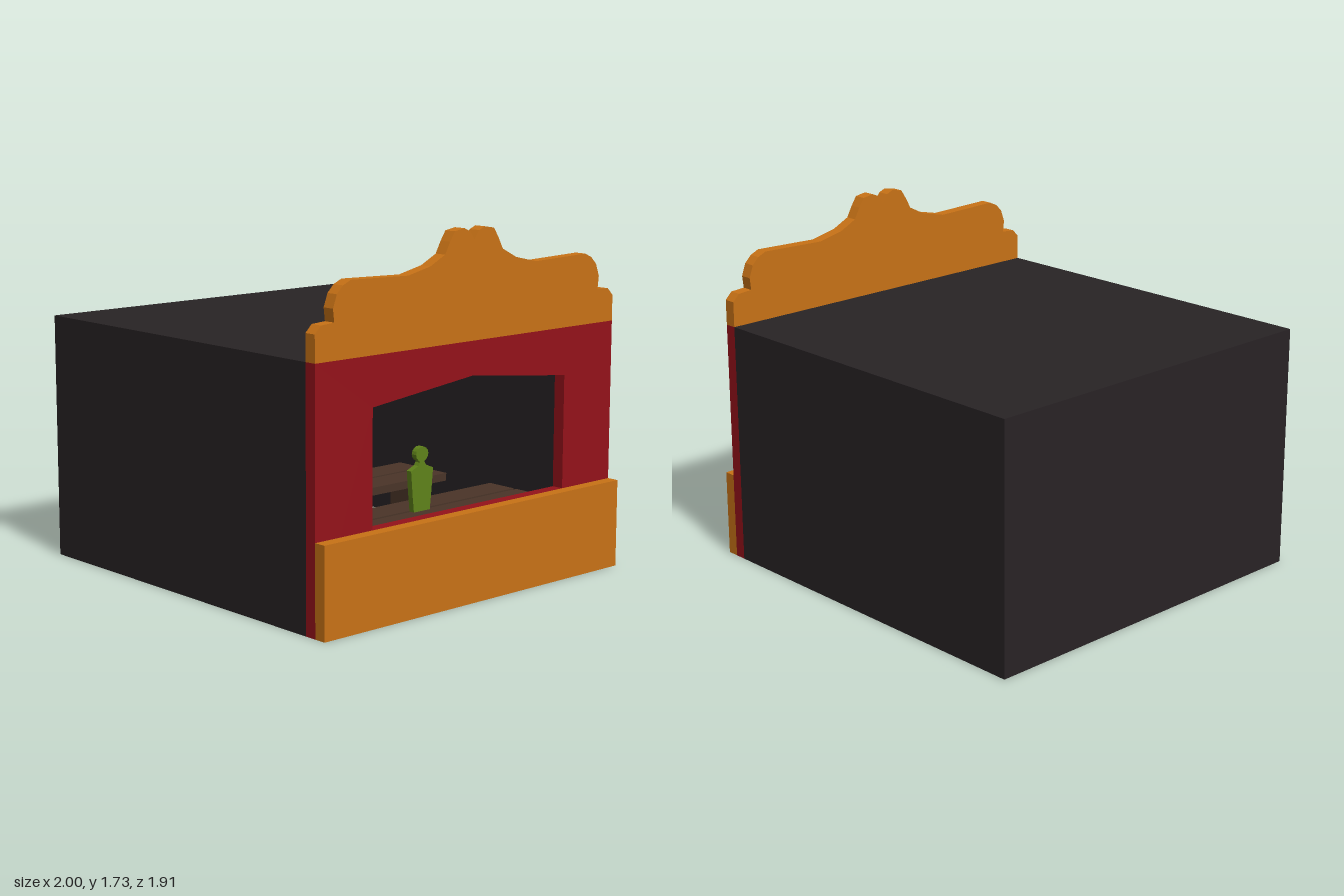
import * as THREE from 'three';

const ORANGE = 0xc87216, RED = 0x94121a, DARK = 0x282325, BROWN = 0x4a3428;
const HALF = 0.955; // half width of the stall along z

function add(parent, name, geometry, color, x = 0, y = 0, z = 0) {
  const material = new THREE.MeshStandardMaterial({ color, flatShading: true });
  const mesh = new THREE.Mesh(geometry, material);
  mesh.name = name;
  mesh.position.set(x, y, z);
  parent.add(mesh);
  return mesh;
}

const toShape = (points) => new THREE.Shape(points.map(([u, v]) => new THREE.Vector2(u, v)));

// Closes a half outline by mirroring it about the centre line.
const mirrored = (half) =>
  toShape([...half, ...half.filter(([u]) => u > 0).map(([u, v]) => [-u, v]).reverse()]);

// Extrudes an upright outline (across, up) along +x.
const panel = (shape, depth) =>
  new THREE.ExtrudeGeometry(shape, { depth, bevelEnabled: false, curveSegments: 8 }).rotateY(Math.PI / 2);

function addBench(parent, x) {
  const bench = new THREE.Group();
  bench.name = 'bench';
  bench.position.x = x;
  parent.add(bench);
  for (const side of [1, -1]) {
    add(bench, 'benchPlank', new THREE.BoxGeometry(0.16, 0.04, 1.34), BROWN, side * 0.09, 0.34, 0);
    add(bench, 'benchLeg', new THREE.BoxGeometry(0.2, 0.32, 0.055), BROWN, 0, 0.16, side * 0.56);
  }
}

function addTarget(parent, color, x, z) {
  const target = new THREE.Group();
  target.name = 'target';
  target.position.set(x - 0.015, 0.36, z);
  parent.add(target);
  // flat torso with shoulders and a short neck
  const body = mirrored([[0.052, 0], [0.06, 0.07], [0.072, 0.2], [0.025, 0.22], [0.016, 0.235], [0.018, 0.26]]);
  add(target, 'targetBody', panel(body, 0.03), color);
  const head = new THREE.CylinderGeometry(0.04, 0.04, 0.03, 14).rotateZ(Math.PI / 2);
  add(target, 'targetHead', head, color, 0.015, 0.274, 0).scale.y = 0.9;
}

export function createModel() {
  const model = new THREE.Group();
  model.name = 'shootingGallery';

  // Walls: open towards the facade and the ground, one side wall thickens to the back
  const plan = toShape([
    [0.88, HALF], [-1, HALF], [-1, -HALF], [0.88, -HALF],
    [0.88, -0.91], [-0.94, -0.62], [-0.95, 0.91], [0.88, 0.92],
  ]);
  const walls = new THREE.ExtrudeGeometry(plan, { depth: 1.17, bevelEnabled: false }).rotateX(-Math.PI / 2);
  add(model, 'walls', walls, DARK);
  add(model, 'roof', new THREE.BoxGeometry(1.88, 0.04, HALF * 2), DARK, -0.06, 1.19, 0);

  // Red facade with a gabled opening
  const front = mirrored([[HALF, 0], [HALF, 1.21]]);
  front.holes.push(mirrored([[0.62, 0.43], [0.62, 0.98], [0, 1.05]]));
  add(model, 'facade', panel(front, 0.06), RED, 0.88);

  // Scalloped sign board above the facade
  const crest = mirrored([
    [HALF, 1.21], [HALF, 1.335], [0.92, 1.37], [0.845, 1.375], [0.852, 1.435], [0.83, 1.495],
    [0.795, 1.53], [0.75, 1.55], [0.41, 1.54], [0.275, 1.57], [0.185, 1.615], [0.155, 1.67],
    [0.125, 1.715], [0.065, 1.725], [0.03, 1.71], [0, 1.67],
  ]);
  add(model, 'crest', panel(crest, 0.06), ORANGE, 0.88);

  // Counter board
  add(model, 'counter', new THREE.BoxGeometry(0.06, 0.43, HALF * 2), ORANGE, 0.97, 0.215, 0);

  // Benches inside, with targets standing on the first one
  for (const x of [0.585, -0.065, -0.715]) addBench(model, x);
  addTarget(model, 0x6e35d0, 0.6, 0.39);
  addTarget(model, 0x5f821a, 0.6, 0);

  return model;
}
